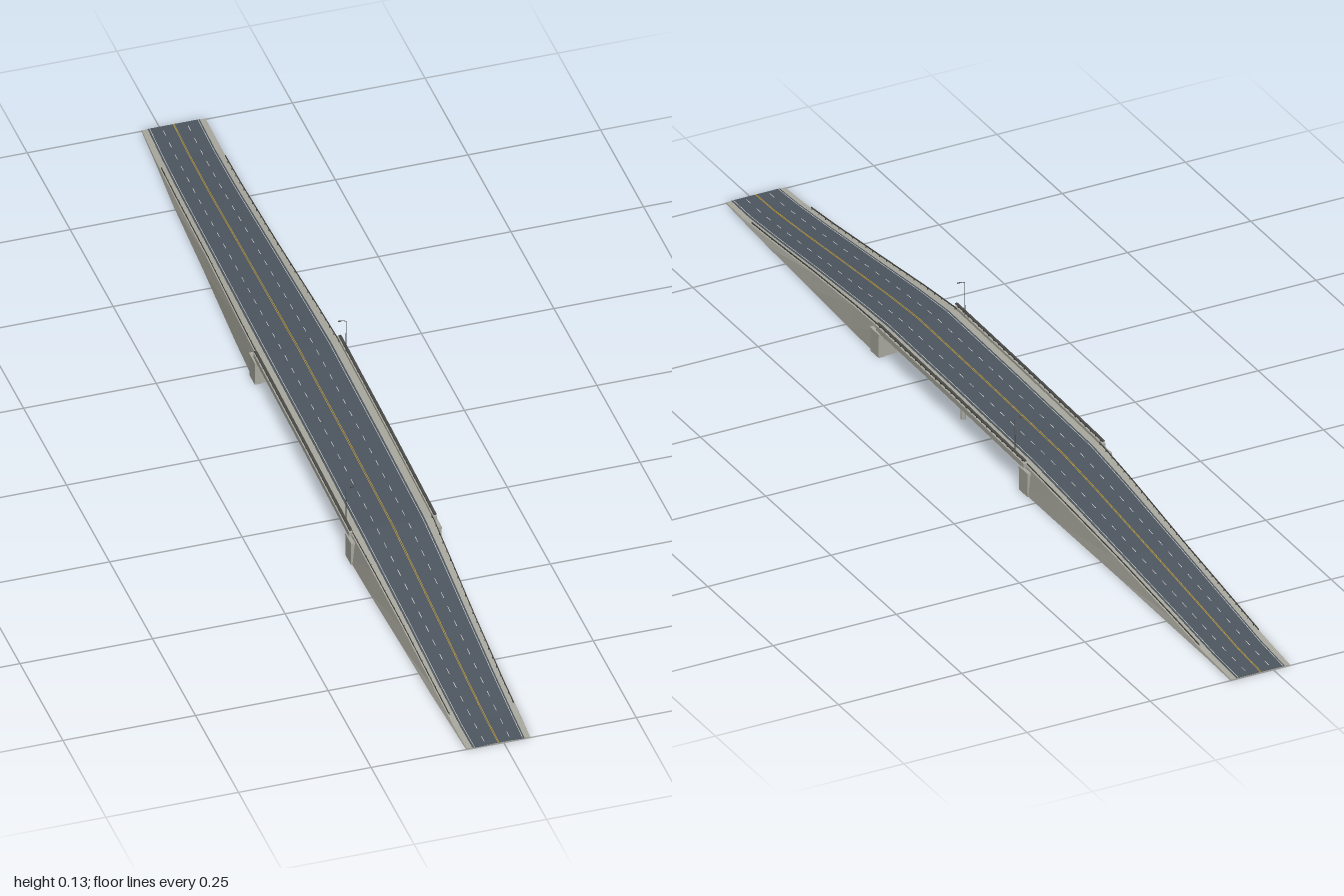
import * as THREE from 'three';

// Stations along the road: z, centre x, half road, half shoulder, half foot, road height
const STATIONS = [
  [1.0, -0.01, 0.049, 0.060, 0.0605, 0.002],
  [0.93, -0.0095, 0.051, 0.062, 0.064, 0.004],
  [0.82, -0.009, 0.053, 0.064, 0.069, 0.013],
  [0.65, -0.008, 0.056, 0.068, 0.074, 0.030],
  [0.48, -0.007, 0.060, 0.074, 0.080, 0.046],
  [0.37, -0.006, 0.062, 0.078, 0.083, 0.054],
  [0.1, -0.002, 0.062, 0.078, 0.083, 0.0555],
  [-0.2, 0.002, 0.062, 0.078, 0.083, 0.054],
  [-0.33, 0.005, 0.060, 0.075, 0.080, 0.046],
  [-0.55, 0.011, 0.056, 0.068, 0.073, 0.030],
  [-0.77, 0.017, 0.052, 0.064, 0.068, 0.013],
  [-0.9, 0.022, 0.050, 0.062, 0.063, 0.004],
  [-1.0, 0.026, 0.049, 0.060, 0.0605, 0.002],
];
const FRONT = 0.365, BACK = -0.195; // ends of the span

function at(z) {
  let i = 0;
  while (i < STATIONS.length - 2 && z < STATIONS[i + 1][0]) i++;
  const a = STATIONS[i], b = STATIONS[i + 1];
  const t = (z - a[0]) / (b[0] - a[0]);
  const [, c, road, shoulder, foot, y] = a.map((v, k) => v + (b[k] - v) * t);
  return { z, c, road, shoulder, foot, y };
}

const mat = (color, side = THREE.FrontSide) => new THREE.MeshStandardMaterial({ color, side });
const M = {
  asphalt: mat(0x4d5660),
  concrete: mat(0xa9a99f),
  steel: mat(0x4a4a48),
  girder: mat(0x5a5a56),
  white: mat(0xd8d8d0),
  yellow: mat(0xc9a23a),
};

// Sweeps a convex, counter-clockwise section from z0 (front) back to z1
function sweep(z0, z1, section) {
  const zs = [z0, ...STATIONS.map((s) => s[0]).filter((z) => z < z0 - 1e-4 && z > z1 + 1e-4), z1];
  const rings = zs.map((z) => section(at(z)).map(([x, y]) => [x, y, z]));
  const n = rings[0].length, pos = [];
  const tri = (a, b, c) => pos.push(...a, ...b, ...c);
  for (let r = 0; r < rings.length - 1; r++) {
    for (let i = 0; i < n; i++) {
      const j = (i + 1) % n, f = rings[r], k = rings[r + 1];
      tri(f[i], k[j], f[j]);
      tri(f[i], k[i], k[j]);
    }
  }
  const first = rings[0], last = rings[rings.length - 1];
  for (let i = 1; i < n - 1; i++) {
    tri(first[0], first[i], first[i + 1]);
    tri(last[0], last[i + 1], last[i]);
  }
  const g = new THREE.BufferGeometry();
  g.setAttribute('position', new THREE.Float32BufferAttribute(pos, 3));
  g.computeVertexNormals();
  return g;
}

const rect = (x0, x1, y0, y1) => [[x0, y0], [x1, y0], [x1, y1], [x0, y1]];

export function createModel() {
  const model = new THREE.Group();
  const add = (name, geometry, material, parent = model) => {
    const m = new THREE.Mesh(geometry, material);
    m.name = name;
    parent.add(m);
    return m;
  };
  const box = (name, w, h, d, x, y, z, material, parent) =>
    add(name, new THREE.BoxGeometry(w, h, d), material, parent).position.set(x, y, z);
  const group = (name) => {
    const g = new THREE.Group();
    g.name = name;
    model.add(g);
    return g;
  };

  // Earth ramps with sloping sides
  const ramp = (s) => [
    [s.c - s.foot, 0], [s.c + s.foot, 0], [s.c + s.shoulder, s.y], [s.c - s.shoulder, s.y],
  ];
  add('frontRamp', sweep(1, FRONT, ramp), M.concrete);
  add('backRamp', sweep(BACK, -1, ramp), M.concrete);

  // Road surface and bridge deck
  add('roadSurface', sweep(1, -1, (s) => rect(s.c - s.road, s.c + s.road, s.y - 0.001, s.y + 0.0008)), M.asphalt);
  add('bridgeDeck', sweep(FRONT, BACK, (s) => rect(s.c - 0.083, s.c + 0.083, s.y - 0.005, s.y)), M.concrete);

  // Lane markings
  const markings = group('laneMarkings');
  const line = (name, z0, z1, offset, w, material) => add(name, sweep(z0, z1, (s) => {
    const x = s.c + offset * s.road;
    return rect(x - w / 2, x + w / 2, s.y, s.y + 0.0013);
  }), material, markings);
  for (const side of [-1, 1]) {
    line('centreLine', 1, -1, side * 0.02, 0.0009, M.yellow);
    line('edgeLine', 1, -1, side * 0.93, 0.0009, M.white);
    for (let i = 0; i < 50; i++) {
      const z = 0.99 - i * 0.04;
      line('laneDash', z, z - 0.016, side * 0.48, 0.001, M.white);
    }
  }

  // Guard rails on the ramps, parapets on the span
  const rails = group('guardRails');
  const parapets = group('parapets');
  for (const side of [-1, 1]) {
    for (const [z0, z1] of [[0.9, FRONT], [BACK, -0.87]]) {
      add('guardRail', sweep(z0, z1, (s) => {
        const x = s.c + side * (s.shoulder - 0.002);
        return rect(x - 0.0005, x + 0.0005, s.y + 0.002, s.y + 0.0045);
      }), M.steel, rails);
      for (let z = z0 - 0.005; z > z1; z -= 0.025) {
        const s = at(z);
        box('guardRailPost', 0.001, 0.0045, 0.0015, s.c + side * (s.shoulder - 0.003), s.y + 0.0018, z, M.steel, rails);
      }
    }
    const strip = (name, inner, outer, y0, y1, material) =>
      add(name, sweep(FRONT + 0.01, BACK - 0.01, (s) => {
        const a = s.c + side * inner, b = s.c + side * outer;
        return rect(Math.min(a, b), Math.max(a, b), s.y + y0, s.y + y1);
      }), material, parapets);
    strip('parapetBase', 0.076, 0.083, -0.004, 0.005, M.concrete);
    strip('parapetRail', 0.077, 0.082, 0.0085, 0.0105, M.steel);
    for (let i = 0; i <= 28; i++) {
      const s = at(FRONT - i * (FRONT - BACK) / 28);
      box('parapetPost', 0.003, 0.005, 0.003, s.c + side * 0.0795, s.y + 0.007, s.z, M.steel, parapets);
    }
  }

  // Girders below the deck
  const girders = group('girders');
  for (let i = 0; i < 7; i++) {
    const offset = -0.069 + i * 0.023;
    add('girder', sweep(FRONT, BACK, (s) =>
      rect(s.c + offset - 0.003, s.c + offset + 0.003, s.y - 0.010, s.y - 0.0045)), M.girder, girders);
  }

  // Abutments: wall, bearing seat and corner wings
  for (const [name, z, out] of [['frontAbutment', FRONT, 1], ['backAbutment', BACK, -1]]) {
    const g = group(name);
    const c = at(z).c;
    box('abutmentWall', 0.160, 0.045, 0.02, c, 0.0225, z + out * 0.008, M.concrete, g);
    box('bearingSeat', 0.150, 0.006, 0.016, c, 0.041, z - out * 0.003, M.concrete, g);
    for (const side of [-1, 1]) {
      box('wingWall', 0.013, 0.044, 0.032, c + side * 0.0785, 0.022, z + out * 0.012, M.concrete, g);
      box('wingCap', 0.014, 0.005, 0.036, c + side * 0.0785, 0.0455, z + out * 0.012, M.concrete, g);
    }
  }

  // Mid-span pier with three columns
  const pier = group('pier');
  const p = at(0.09);
  box('pierCap', 0.136, 0.005, 0.012, p.c, 0.0435, p.z, M.girder, pier);
  for (const offset of [-0.053, 0, 0.053]) {
    add('pierColumn', new THREE.CylinderGeometry(0.005, 0.005, 0.042, 16), M.concrete, pier)
      .position.set(p.c + offset, 0.021, p.z);
  }

  // Street lamps with arms reaching over the road
  for (const [name, x, z, inward] of [['rightLamp', -0.082, 0.335, 1], ['leftLamp', 0.079, -0.16, -1]]) {
    const g = group(name);
    g.position.set(x, 0.055, z);
    add('lampPole', new THREE.CylinderGeometry(0.0006, 0.001, 0.071, 8), M.steel, g).position.y = 0.0355;
    const arm = new THREE.QuadraticBezierCurve3(
      new THREE.Vector3(0, 0.070, 0), new THREE.Vector3(inward * 0.002, 0.072, 0), new THREE.Vector3(inward * 0.010, 0.073, 0));
    add('lampArm', new THREE.TubeGeometry(arm, 6, 0.0005, 6), M.steel, g);
    box('lampHead', 0.006, 0.0012, 0.0025, inward * 0.012, 0.073, 0, M.steel, g);
  }
  return model;
}
